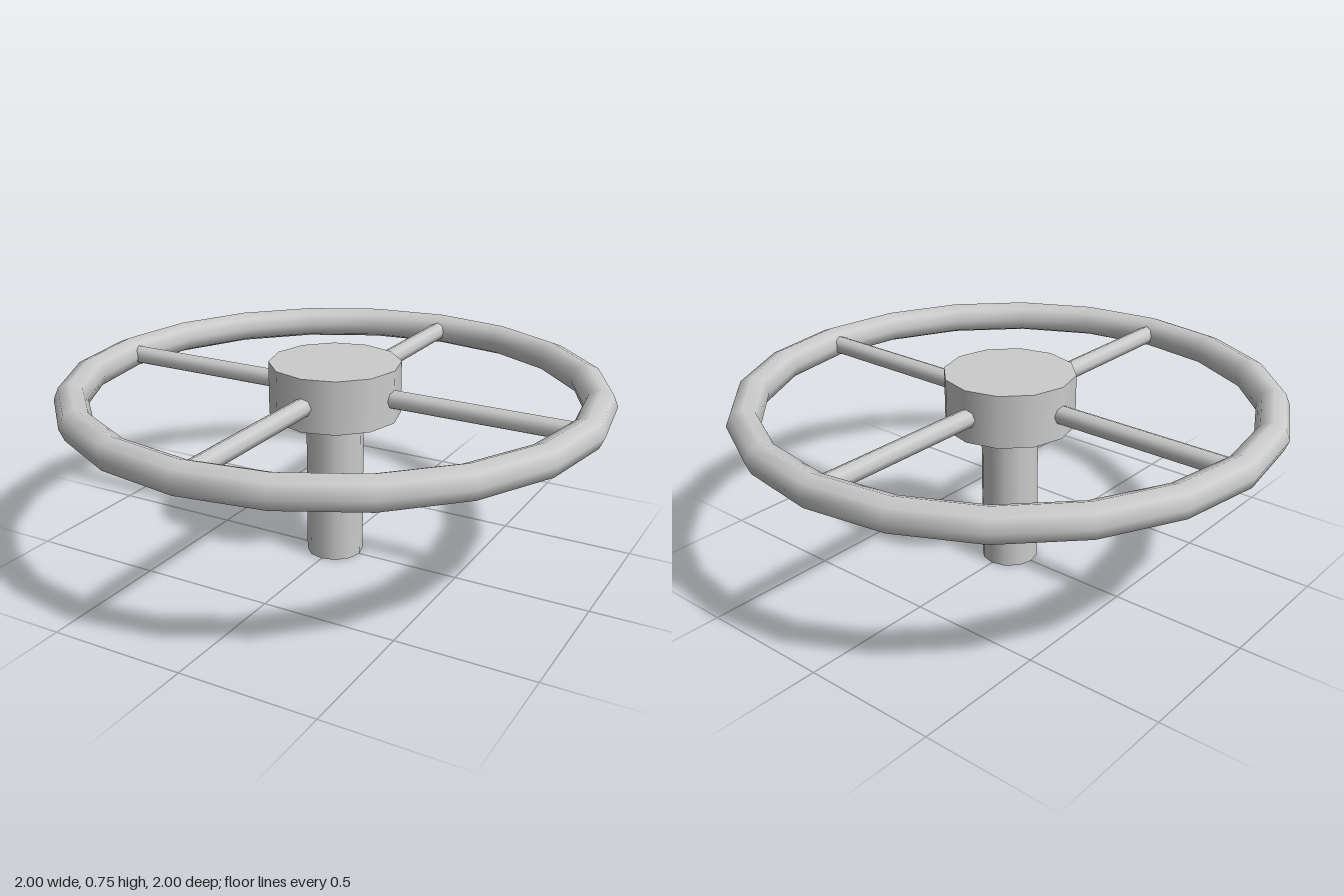
import * as THREE from 'three';

const RIM_Y = 0.64;

export function createModel() {
  const group = new THREE.Group();
  const grey = new THREE.MeshStandardMaterial({ color: 0xcccccc });
  const greyDouble = new THREE.MeshStandardMaterial({ color: 0xcccccc, side: THREE.DoubleSide });

  const add = (name, geometry, y, material = grey) => {
    const mesh = new THREE.Mesh(geometry, material);
    mesh.name = name;
    mesh.position.y = y;
    group.add(mesh);
    return mesh;
  };

  // Twenty-sided ring, lying flat
  add('rim', new THREE.TorusGeometry(0.94, 0.06, 8, 20).rotateX(Math.PI / 2), RIM_Y);

  // Twelve-sided hub
  add('hub', new THREE.CylinderGeometry(0.24, 0.24, 0.195, 12), 0.6475);

  // Hollow column, open at the foot
  add('column', new THREE.CylinderGeometry(0.105, 0.105, 0.56, 12, 1, true), 0.28, greyDouble);

  // Four spokes running from inside the hub into the rim
  const spoke = new THREE.CylinderGeometry(0.035, 0.035, 0.73, 8, 1, true)
    .rotateZ(Math.PI / 2)
    .translate(0.555, 0, 0);
  for (let i = 0; i < 4; i++) {
    add('spoke' + (i + 1), spoke, RIM_Y).rotation.y = (i * Math.PI) / 2;
  }

  return group;
}
